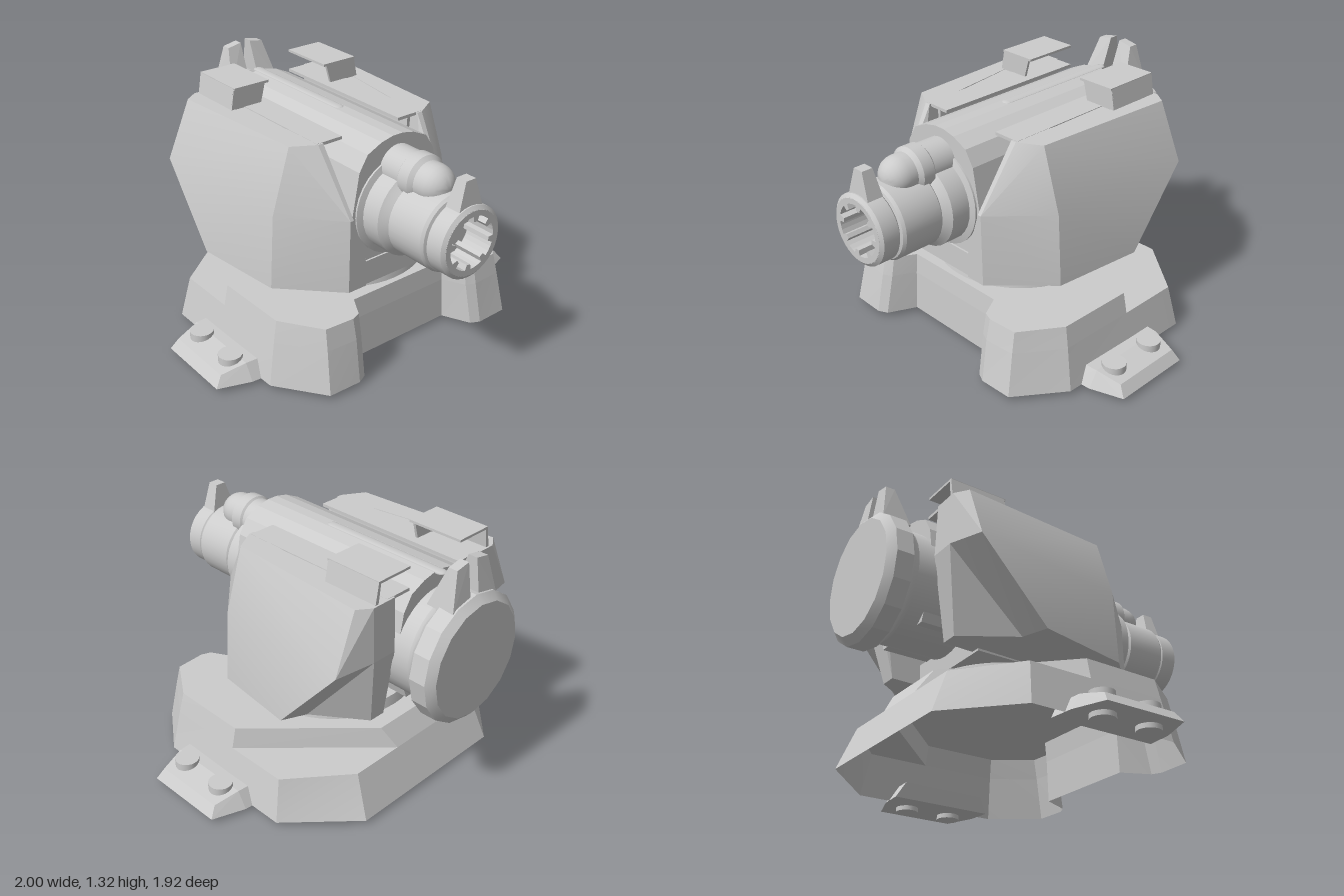
import * as THREE from 'three';
import { toCreasedNormals } from 'three/addons/utils/BufferGeometryUtils.js';
import { ConvexGeometry } from 'three/addons/geometries/ConvexGeometry.js';

const GUN_X = -0.05, GUN_Y = 0.83;
const grey = new THREE.MeshStandardMaterial({ color: 0xcccccc });
const sheet = new THREE.MeshStandardMaterial({ color: 0xcccccc, side: THREE.DoubleSide });

function add(parent, name, geo, mat = grey) {
  const mesh = new THREE.Mesh(geo, mat);
  mesh.name = name;
  parent.add(mesh);
  return mesh;
}

// Convex solid; s mirrors it in x
const hull = (pts, s = 1) => new ConvexGeometry(pts.map(([x, y, z]) => new THREE.Vector3(s * x, y, z)));

// Box between two corners
function block(x0, x1, y0, y1, z0, z1) {
  const g = new THREE.BoxGeometry(Math.abs(x1 - x0), y1 - y0, z1 - z0);
  return g.translate((x0 + x1) / 2, (y0 + y1) / 2, (z0 + z1) / 2);
}

// Solid of revolution along z from [radius, z] pairs running back to front
function turned(profile, y, sides = 32) {
  const g = new THREE.LatheGeometry(profile.map(([r, z]) => new THREE.Vector2(r, z)), sides);
  return toCreasedNormals(g.rotateX(Math.PI / 2), 0.35).translate(0, y, 0);
}

function flatGeometry(verts) {
  const g = new THREE.BufferGeometry();
  g.setAttribute('position', new THREE.Float32BufferAttribute(verts.flat(), 3));
  g.computeVertexNormals();
  return g;
}

// Walls between two [x, z] outlines (counter-clockwise from above)
function walls(low, y0, high, y1) {
  const v = [];
  low.forEach(([x, z], i) => {
    const j = (i + 1) % low.length;
    const a = [x, y0, z], b = [low[j][0], y0, low[j][1]];
    const c = [high[j][0], y1, high[j][1]], d = [high[i][0], y1, high[i][1]];
    v.push(a, b, c, a, c, d);
  });
  return toCreasedNormals(flatGeometry(v), 0.3);
}

// Horizontal face filling an outline
function cap(outline, y) {
  const pts = outline.map(([x, z]) => new THREE.Vector2(x, -z));
  const tris = THREE.ShapeUtils.triangulateShape(pts, []);
  return flatGeometry(tris.flat().map(i => [outline[i][0], y, outline[i][1]]));
}

const mirrored = half => [...half, ...half.map(([x, z]) => [-x, z]).reverse()];

function buildBase() {
  const base = new THREE.Group();
  base.name = 'base';
  const foot = mirrored([[0.3, 0.44], [0.37, 0.59], [0.42, 0.615], [0.6, 0.61], [0.78, 0.36], [0.79, -0.09], [0.79, -0.46], [0.47, -0.76], [0.15, -0.76]]);
  const ledge = [[0.3, 0.43], [0.36, 0.55], [0.41, 0.575], [0.58, 0.565], [0.735, 0.34], [0.74, -0.09], [0.74, -0.43], [0.44, -0.67], [0.15, -0.67]];
  const waist = [...ledge.slice(0, 6), ledge[8]];
  const top = mirrored([[0.3, 0.42], [0.36, 0.53], [0.41, 0.55], [0.57, 0.54], [0.71, 0.33], [0.715, -0.09], [0.2, -0.6]]);
  add(base, 'baseLowerWall', walls(foot, 0.025, mirrored(ledge), 0.25), sheet);
  add(base, 'baseUpperWall', walls(mirrored(waist), 0.25, top, 0.36), sheet);
  add(base, 'baseTop', cap(top, 0.36), sheet);
  for (const s of [1, -1]) {
    const c = ledge.slice(5).map(([x, z]) => [s * x, z]);
    add(base, 'rearLedge', cap(s > 0 ? c : c.reverse(), 0.25), sheet);
    // Bolted foot plates
    add(base, 'footPlate', hull([
      [0.7, 0.025, 0.29], [0.7, 0.025, -0.29], [0.83, 0.025, 0.28], [0.83, 0.025, -0.28], [1, 0.025, 0.22], [1, 0.025, -0.22],
      [0.68, 0.11, 0.24], [0.68, 0.11, -0.24], [0.83, 0.11, 0.23], [0.83, 0.11, -0.23], [0.96, 0.08, 0.2], [0.96, 0.08, -0.2]], s));
    for (const z of [-0.13, 0.135]) {
      const bolt = toCreasedNormals(new THREE.CylinderGeometry(0.062, 0.062, 0.13, 20), 0.5);
      add(base, 'bolt', bolt).position.set(s * 0.86, 0.065, z);
    }
  }
  const disc = toCreasedNormals(new THREE.CylinderGeometry(0.44, 0.45, 0.06, 48), 0.5);
  add(base, 'turntable', disc).position.set(0, 0.385, -0.06);
  return base;
}

// One armoured side pod with its top lip and folded flap
function buildPod(s) {
  const pod = new THREE.Group();
  pod.name = s > 0 ? 'leftPod' : 'rightPod';
  const outer = hull([
    [0.2, 0.44, 0.455], [0.31, 0.44, 0.455], [0.2, 0.57, 0.455], [0.28, 0.83, 0.455], [0.3, 0.83, 0.455],
    [0.3, 1.165, 0.25], [0.33, 1.165, 0.25],
    [0.58, 0.44, 0.18], [0.555, 0.83, 0.18], [0.45, 1.165, 0.18],
    [0.65, 0.46, -0.3], [0.63, 0.86, -0.65], [0.5, 1.165, -0.64],
    [0.43, 1.165, -0.69], [0.43, 0.88, -0.7], [0.52, 0.455, -0.35]], s);
  add(pod, 'podArmour', toCreasedNormals(outer, 0.42));
  add(pod, 'podBody', hull([
    [0.28, 1.16, 0.2], [0.43, 1.16, 0.15], [0.24, 0.445, 0.2], [0.52, 0.445, 0.15], [0.52, 0.455, -0.35],
    [0.43, 0.88, -0.7], [0.43, 1.165, -0.69], [0.29, 1.165, -0.69], [0.29, 0.88, -0.7],
    [0.25, 0.46, -0.61], [0.34, 0.46, -0.61]], s));
  add(pod, 'topLip', block(s * 0.18, s * 0.33, 1.15, 1.166, -0.68, 0.24));
  add(pod, 'flapTop', block(s * 0.18, s * 0.39, 1.265, 1.278, -0.68, -0.36));
  add(pod, 'flapSkirt', hull([-0.68, -0.37].flatMap(z =>
    [[0.375, 1.275, z], [0.39, 1.275, z], [0.41, 1.16, z], [0.39, 1.16, z]]), s));
  add(pod, 'flapFront', hull([-0.38, -0.365].flatMap(z =>
    [[0.2, 1.27, z], [0.39, 1.27, z], [0.41, 1.16, z], [0.23, 1.16, z]]), s));
  return pod;
}

function buildGun() {
  const gun = new THREE.Group();
  gun.name = 'gun';

  // Faceted hood with a softly rounded top
  const side = [[0.19, 0.57], [0.28, 0.82], [0.235, 1.06], [0.185, 1.14], [0.1, 1.18], [0.03, 1.195]];
  const hood = new THREE.Shape(mirrored(side).map(([x, y]) => new THREE.Vector2(x, y)));
  add(gun, 'hood', new THREE.ExtrudeGeometry(hood, { depth: 1.14, bevelEnabled: false }).translate(0, 0, -0.7));
  const rib = new THREE.CapsuleGeometry(0.03, 0.7, 4, 10).rotateX(Math.PI / 2).scale(1, 0.3, 1);
  add(gun, 'topRib', rib).position.set(0, 1.192, -0.365);
  add(gun, 'cradle', block(-0.3, 0.3, 0.445, 0.575, -0.45, 0.45));

  // Stepped barrel
  add(gun, 'barrel', turned([[0.26, 0.4], [0.26, 0.45], [0.228, 0.46], [0.228, 0.565], [0.215, 0.575], [0.19, 0.6],
    [0.2, 0.61], [0.2, 0.825], [0.19, 0.84], [0.175, 0.845], [0.185, 0.855], [0.185, 0.945], [0.165, 0.96]], GUN_Y));

  // Muzzle ring with a toothed bore
  const ring = new THREE.Shape().absarc(0, 0, 0.167, 0, Math.PI * 2);
  const teeth = 8, bore = [];
  for (let i = 0; i < teeth; i++) {
    [[0, 0.136], [0.22, 0.136], [0.44, 0.136], [0.66, 0.136], [0.7, 0.108], [0.96, 0.108]].forEach(([f, r]) => {
      const a = (i + f) / teeth * Math.PI * 2;
      bore.push(new THREE.Vector2(r * Math.cos(a), r * Math.sin(a)));
    });
  }
  ring.holes.push(new THREE.Path(bore));
  const muzzle = new THREE.ExtrudeGeometry(ring, { depth: 0.2, bevelEnabled: false, curveSegments: 16 });
  add(gun, 'muzzleRing', muzzle).position.set(0, GUN_Y, 0.759);
  add(gun, 'boreEnd', new THREE.CircleGeometry(0.15, 24)).position.set(0, GUN_Y, 0.8);

  // Small domed scope above the barrel
  const dome = [0, 1, 2, 3, 4, 5, 6].map(i => {
    const a = i / 6 * Math.PI / 2;
    return [0.1 * Math.cos(a), 0.7 + 0.1 * Math.sin(a)];
  });
  add(gun, 'scope', turned([[0.11, 0.2], [0.11, 0.565], [0.12, 0.575], [0.12, 0.64], [0.105, 0.655], [0.1, 0.66], ...dome], 1.035));

  // Rear neck and chamfered end cap
  add(gun, 'rearNeck', turned([[0.325, -0.83], [0.3, -0.8], [0.29, -0.78], [0.29, -0.35], [0, -0.35]], 0.82));
  add(gun, 'rearCap', turned([[0, -0.96], [0.3, -0.96], [0.34, -0.925], [0.34, -0.835], [0.315, -0.81], [0, -0.81]], 0.815, 16));

  // Front blade and paired rear sights
  add(gun, 'frontSight', hull([[-0.075, 0.99, 0.94], [0.075, 0.99, 0.94], [-0.075, 0.99, 0.85], [0.075, 0.99, 0.85],
    [-0.03, 1.14, 0.93], [0.03, 1.14, 0.93], [-0.03, 1.14, 0.87], [0.03, 1.14, 0.87]]));
  for (const s of [1, -1]) {
    add(gun, 'rearSight', hull([[0.03, 1.1, -0.76], [0.15, 1.1, -0.76], [0.03, 1.1, -0.92], [0.16, 1.1, -0.92],
      [0.03, 1.32, -0.84], [0.11, 1.305, -0.84], [0.03, 1.32, -0.89], [0.11, 1.305, -0.89]], s));
  }
  return gun;
}

export function createModel() {
  const model = new THREE.Group();
  model.name = 'turret';
  const head = new THREE.Group();
  head.name = 'turretHead';
  head.position.x = GUN_X;
  head.add(buildGun(), buildPod(1), buildPod(-1));
  model.add(buildBase(), head);
  return model;
}
